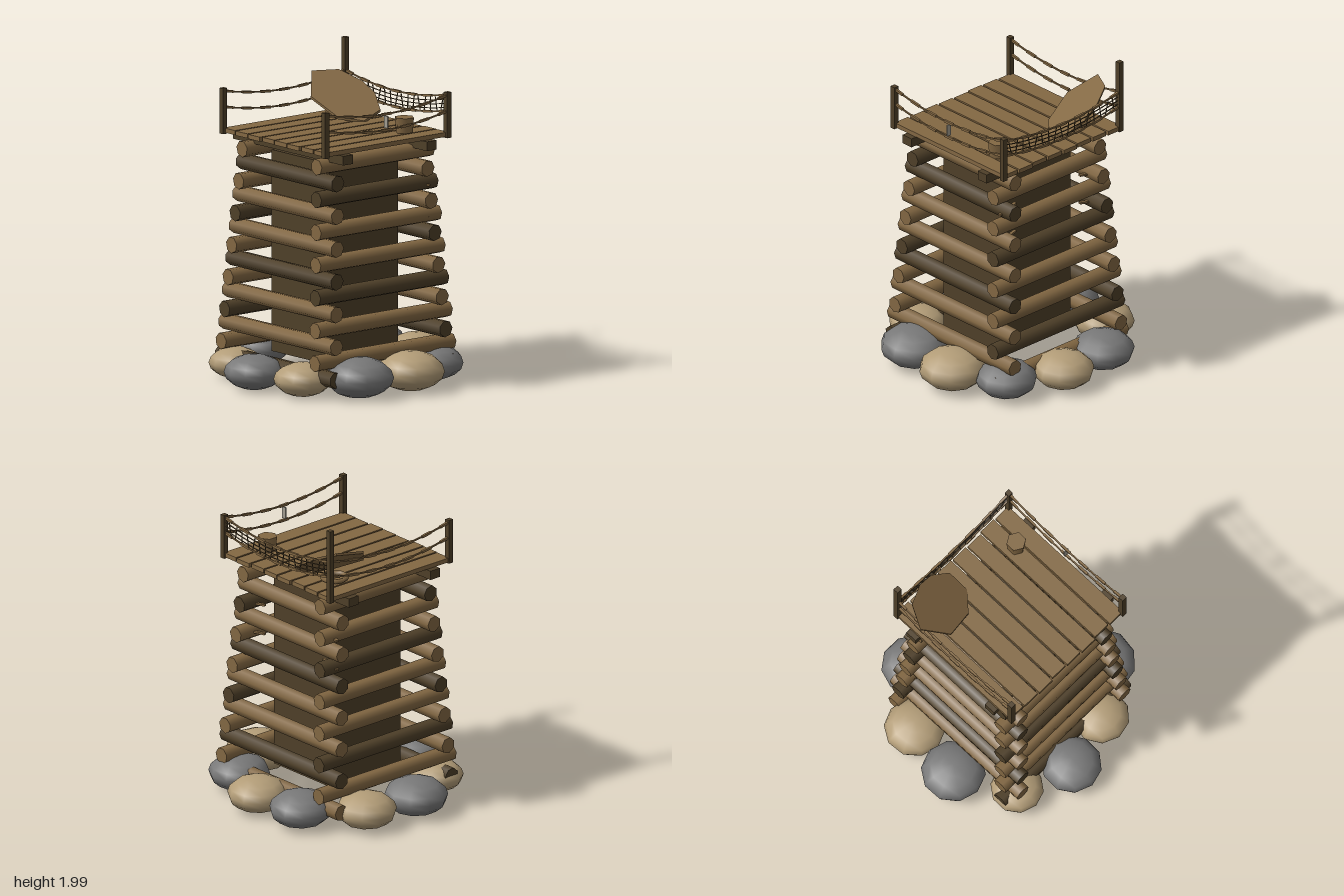
import * as THREE from 'three';

const mat = (name, color) => Object.assign(new THREE.MeshStandardMaterial({ color }), { name });

export function createModel() {
  const model = new THREE.Group();
  model.name = 'logWatchtower';
  const wood = mat('lightWood', 0x836843);
  const dark = mat('darkWood', 0x4f4029);
  const grey = mat('greyStone', 0x787878);
  const tan = mat('tanStone', 0xb39d78);
  const pale = mat('paleTag', 0xa39e92);

  const add = (name, geometry, material, x = 0, y = 0, z = 0, parent = model) => {
    const m = new THREE.Mesh(geometry, material);
    m.name = name;
    m.position.set(x, y, z);
    parent.add(m);
    return m;
  };
  const group = (name) => {
    const g = new THREE.Group();
    g.name = name;
    model.add(g);
    return g;
  };
  // Square bar running from a to b
  const bar = (name, a, b, w, h, material, parent) => {
    const p = new THREE.Vector3(...a), q = new THREE.Vector3(...b);
    const m = add(name, new THREE.BoxGeometry(w, h, p.distanceTo(q)), material, 0, 0, 0, parent);
    m.position.copy(p).add(q).multiplyScalar(0.5);
    m.lookAt(q);
    return m;
  };

  // Ring of boulders: x, z, radius, alternating colours
  const stones = group('boulderRing');
  [
    [-0.28, -0.56, 0.195], [0.08, -0.59, 0.19], [0.42, -0.44, 0.19], [0.58, -0.13, 0.21],
    [0.54, 0.25, 0.215], [0.29, 0.49, 0.18], [-0.06, 0.585, 0.187], [-0.4, 0.45, 0.165],
    [-0.6, 0.1, 0.2], [-0.56, -0.27, 0.19],
  ].forEach(([x, z, r], i) => {
    const ry = r * 0.58;
    const s = add('boulder', new THREE.SphereGeometry(1, 10, 8), i % 2 ? tan : grey, x, ry + 0.008, z, stones);
    s.scale.set(r, ry, r);
    s.rotation.y = i * 1.3;
  });

  // Inner core
  add('core', new THREE.BoxGeometry(0.55, 1.26, 0.55), dark, 0.005, 0.8, -0.005);

  // Crossed logs, tapering inward as they rise
  const logs = group('logWalls');
  const log = (alongX, x, y, z, length, material) => {
    const g = new THREE.CylinderGeometry(0.052, 0.052, length, 7);
    g.rotateY(y * 9 + x);
    if (alongX) g.rotateZ(Math.PI / 2);
    else g.rotateX(Math.PI / 2);
    add(alongX ? 'crossLog' : 'sideLog', g, material, x, y, z, logs);
  };
  for (let i = 0; i < 7; i++) {
    const y = 0.14 + i * 0.2005;
    const lenX = 1.1 - i * 0.031;
    log(true, 0.006, y, 0.445 - i * 0.015, lenX, i % 3 === 0 ? dark : wood);
    log(true, 0.006, y, -0.46 + i * 0.0158, lenX, i % 3 === 1 ? dark : wood);
    const lenZ = 1.09 - i * 0.031;
    log(false, -0.437 + i * 0.0148, y + 0.1, -0.01, lenZ, i % 3 === 1 ? dark : wood);
    log(false, 0.456 - i * 0.0155, y + 0.1, -0.01, lenZ, i % 3 === 2 ? dark : wood);
  }

  // Splinters tucked into the corners
  for (const s of [-1, 1]) {
    for (const y of [1.05, 1.24]) {
      bar('splinter', [s * 0.27, y, -0.36], [s * 0.44, y - 0.01, -0.4], 0.02, 0.012, wood);
    }
  }

  // Deck beams and planks
  for (const z of [0.33, -0.34]) {
    add('deckBeam', new THREE.BoxGeometry(1.05, 0.058, 0.078), dark, 0.005, 1.5, z);
  }
  const deck = group('deck');
  for (let i = 0; i < 8; i++) {
    add('plank', new THREE.BoxGeometry(0.112, 0.028, 0.98), wood,
      -0.432 + i * 0.1245, 1.545, -0.01 + (i % 3 - 1) * 0.005, deck);
  }

  // Corner posts, one tall
  const X0 = -0.48, X1 = 0.495, Z0 = -0.495, Z1 = 0.48;
  for (const [x, z, top] of [[X0, Z0, 2], [X1, Z0, 1.81], [X0, Z1, 1.81], [X1, Z1, 1.81]]) {
    add('cornerPost', new THREE.BoxGeometry(0.034, top - 1.525, 0.034), dark, x, (top + 1.525) / 2, z);
  }

  // Sagging ropes made of short pieces
  const sag = (base, t) => base - 0.055 * (1 - (2 * t - 1) ** 2);
  const ropes = group('ropeRails');
  const rope = (ax, az, bx, bz, base) => {
    const n = 13;
    const at = (t) => [ax + (bx - ax) * t, sag(base, t), az + (bz - az) * t];
    for (let i = 0; i < n; i++) {
      const w = i % 2 ? 0.009 : 0.015;
      bar('ropePiece', at(i / n), at((i + 1) / n), w, w, wood, ropes);
    }
  };
  for (const base of [1.793, 1.693]) {
    rope(X0, Z0, X0, Z1, base);
    rope(X1, Z0, X1, Z1, base);
    rope(X0, Z0, X1, Z0, base);
  }

  // Net across the back
  const net = group('backNet');
  const cols = 18;
  const netX = (t) => X0 + (X1 - X0) * t;
  for (let i = 1; i < cols; i++) {
    const t = i / cols, shift = 0.012 * Math.sin(i * 2.3);
    bar('netStrand', [netX(t) + shift, sag(1.785, t), Z0], [netX(t) - shift, sag(1.69, t), Z0], 0.005, 0.005, dark, net);
  }
  for (let r = 1; r < 4; r++) {
    for (let i = 0; i < cols; i++) {
      const t = i / cols, u = (i + 1) / cols, base = 1.79 - r * 0.025;
      bar('netCord', [netX(t), sag(base, t), Z0], [netX(u), sag(base, u), Z0], 0.005, 0.005, dark, net);
    }
  }

  // Small tag hanging from the left rope
  add('hangingTag', new THREE.BoxGeometry(0.032, 0.075, 0.008), pale, X1, 1.688, -0.005);

  // Tilted board: flat outline sheared onto a slope
  const outline = [[-0.52, -0.26], [-0.44, -0.41], [-0.3, -0.48], [-0.19, -0.49],
    [-0.08, -0.44], [-0.07, -0.3], [-0.18, -0.18], [-0.38, -0.135]];
  const board = new THREE.ExtrudeGeometry(
    new THREE.Shape(outline.map(([x, z]) => new THREE.Vector2(x, -z))),
    { depth: 0.016, bevelEnabled: false });
  board.rotateX(-Math.PI / 2);
  const p = board.attributes.position;
  for (let i = 0; i < p.count; i++) {
    p.setY(i, p.getY(i) + 1.682 - 0.58 * (p.getX(i) + 0.3) - 0.32 * (p.getZ(i) + 0.3));
  }
  board.computeVertexNormals();
  add('leaningBoard', board, wood);

  // Rope coil under the board
  const coil = add('ropeCoil', new THREE.TorusGeometry(0.075, 0.016, 5, 10), wood, -0.3, 1.585, -0.3);
  coil.rotation.x = Math.PI / 2;

  // Small tub on the deck
  add('tub', new THREE.CylinderGeometry(0.062, 0.055, 0.095, 6), wood, 0.34, 1.61, -0.28);

  return model;
}
